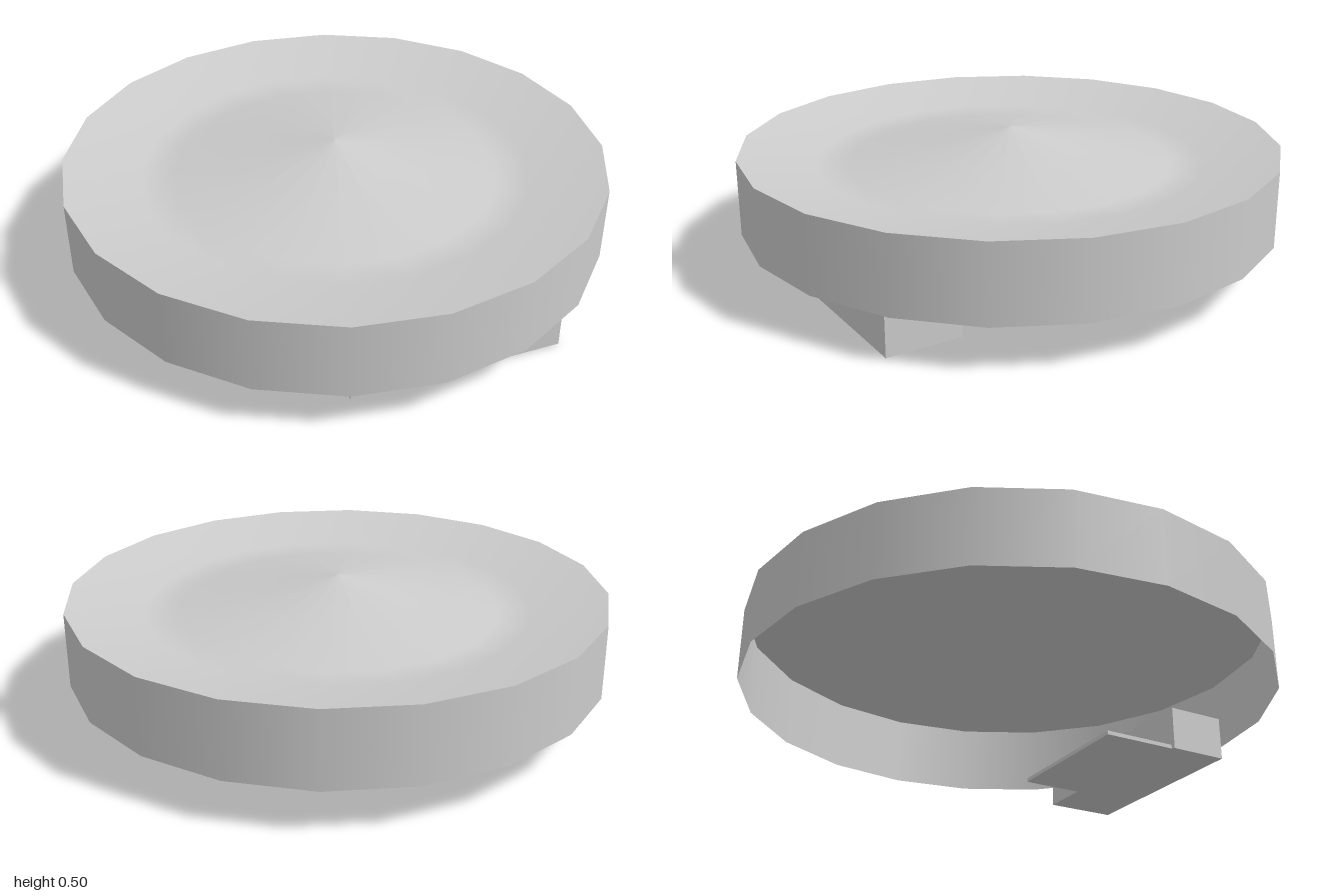
import * as THREE from 'three';

const SIDES = 20;
const RIM_BOTTOM = 0.165;
const RIM_TOP = 0.445;

function createModel() {
  const group = new THREE.Group();
  const material = new THREE.MeshStandardMaterial({ color: 0xcccccc, side: THREE.DoubleSide });

  function add(name, geometry, x = 0, y = 0, z = 0) {
    const mesh = new THREE.Mesh(geometry, material);
    mesh.name = name;
    mesh.position.set(x, y, z);
    group.add(mesh);
    return mesh;
  }

  // Open, smooth-shaded wall around the disc
  const rimHeight = RIM_TOP - RIM_BOTTOM;
  add('rimWall', new THREE.CylinderGeometry(1, 1, rimHeight, SIDES, 1, true), 0, RIM_BOTTOM + rimHeight / 2, 0);

  // Sunken top: slopes down to a shallow ring, then up to a central point
  const profile = [[1, RIM_TOP], [0.72, 0.385], [0.6, 0.378], [0, 0.5]].map(([r, y]) => new THREE.Vector2(r, y));
  add('dishedTop', new THREE.LatheGeometry(profile, SIDES));

  // Front block: solid post at one end, ribbed recess along the rest of the back
  const left = -0.25, right = 0.535, step = 0.342, front = 0.8, back = 0.52;
  const outline = new THREE.Shape();
  outline.moveTo(left, -front);
  outline.lineTo(right, -front);
  outline.lineTo(right, -back);
  outline.lineTo(step, -back);
  const ribs = 18;
  for (let i = 0; i <= ribs; i++) {
    const x = THREE.MathUtils.lerp(step, left, i / ribs);
    outline.lineTo(x, -(i % 2 ? 0.555 : 0.575));
  }
  outline.closePath();
  const block = new THREE.ExtrudeGeometry(outline, { depth: RIM_BOTTOM, bevelEnabled: false });
  block.rotateX(-Math.PI / 2);
  add('frontBlock', block);

  // Thin plate reaching inward from the foot of the block
  const plateBack = 0.28, plateLeft = left + 0.01, plateFront = 0.6;
  add(
    'footPlate',
    new THREE.BoxGeometry(step - plateLeft, 0.015, plateFront - plateBack),
    (step + plateLeft) / 2, 0.0075, (plateBack + plateFront) / 2
  );

  return group;
}

export { createModel };
